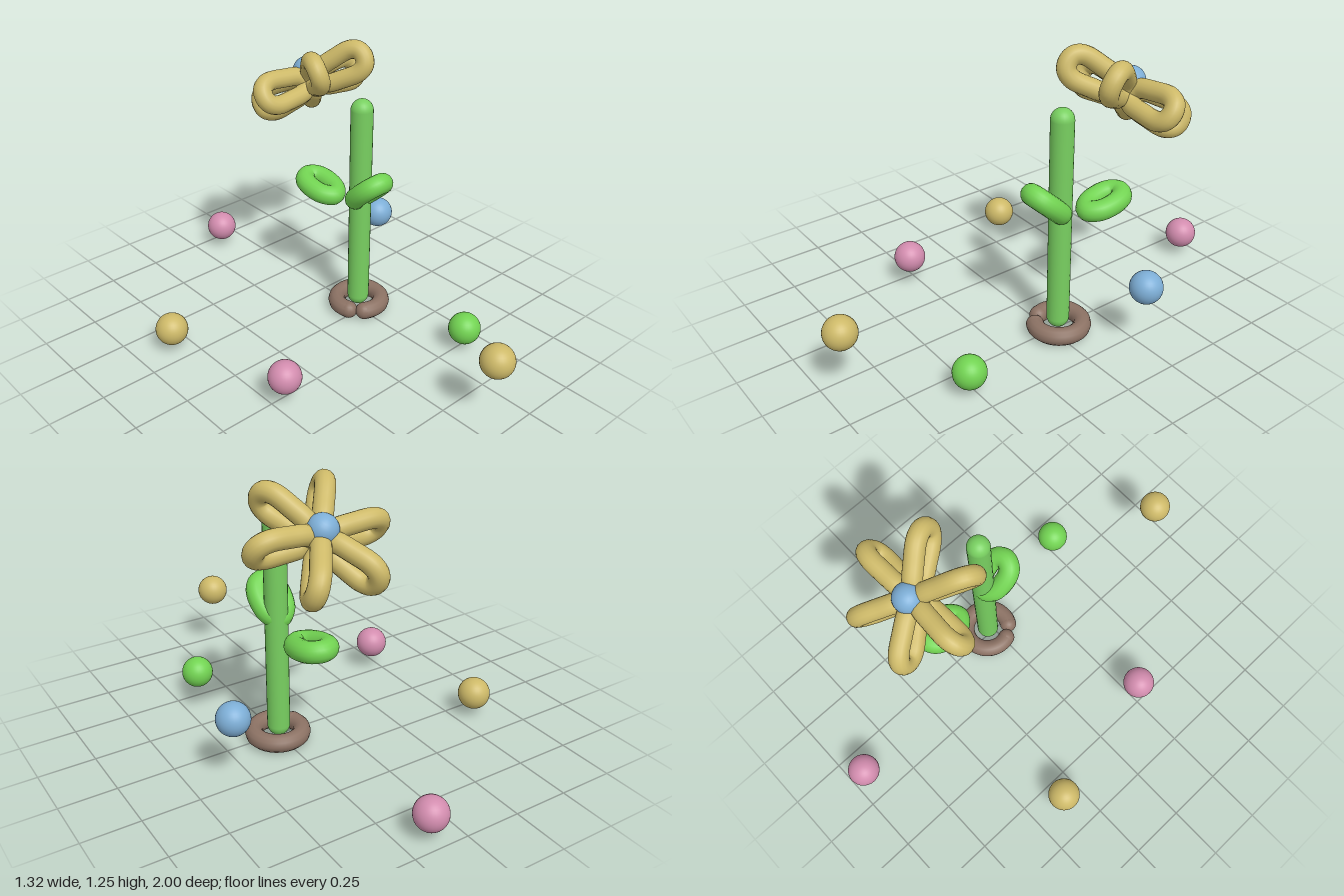
import * as THREE from 'three';

const material = (color) => new THREE.MeshStandardMaterial({ color });
const yellow = material(0xcdb968), green = material(0x72d352), stemGreen = material(0x78cf60);
const brown = material(0x8c7264), blue = material(0x7daed6), pink = material(0xd28cae);

function add(parent, name, geometry, mat, x = 0, y = 0, z = 0) {
  const mesh = new THREE.Mesh(geometry, mat);
  mesh.name = name;
  mesh.position.set(x, y, z);
  parent.add(mesh);
  return mesh;
}

// closed balloon loop in the local XY plane, mirrored about the X axis
function loopGeometry(half, radius) {
  const mirrored = half.slice(1, -1).reverse().map(([x, y]) => [x, -y]);
  const points = [...half, ...mirrored].map(([x, y]) => new THREE.Vector3(x, y, 0));
  return new THREE.TubeGeometry(new THREE.CatmullRomCurve3(points, true), 64, radius, 16, true);
}

export function createModel() {
  const model = new THREE.Group();
  model.name = 'balloonFlower';

  // stem: long capsule
  add(model, 'stem', new THREE.CapsuleGeometry(0.05, 0.94, 10, 24), stemGreen, 0.26, 0.555, -0.03);

  // base: nearly closed ring with rounded ends, gap at the front right
  const base = new THREE.Group();
  base.name = 'base';
  base.position.set(0.265, 0.05, -0.03);
  model.add(base);
  const ringRadius = 0.104, tube = 0.04, arc = THREE.MathUtils.degToRad(320);
  const start = THREE.MathUtils.degToRad(160);
  const ring = new THREE.TorusGeometry(ringRadius, tube, 12, 48, arc);
  ring.rotateZ(start);
  ring.rotateX(Math.PI / 2);
  add(base, 'baseRing', ring, brown);
  for (const a of [start, start + arc]) {
    add(base, 'baseEnd', new THREE.SphereGeometry(tube, 16, 12), brown,
      ringRadius * Math.cos(a), 0, ringRadius * Math.sin(a));
  }

  // leaves: loops spreading across x, rising along the given direction
  const leafGeometry = loopGeometry(
    [[-0.09, 0], [-0.055, 0.04], [0.03, 0.051], [0.075, 0.034], [0.092, 0]], 0.046);
  const leaves = [
    ['frontLeaf', 0.657, 0.032, 0.68, 0.73],
    ['backLeaf', 0.57, -0.28, 0.2, -0.98],
  ];
  for (const [name, y, z, dirY, dirZ] of leaves) {
    const leaf = add(model, name, leafGeometry, green, 0.248, y, z);
    const along = new THREE.Vector3(0, dirY, dirZ).normalize();
    const across = new THREE.Vector3(1, 0, 0);
    leaf.quaternion.setFromRotationMatrix(
      new THREE.Matrix4().makeBasis(along, across, along.clone().cross(across)));
  }

  // blossom: six upright loops around a tilted axis
  const blossom = new THREE.Group();
  blossom.name = 'blossom';
  blossom.position.set(0.26, 1.06, -0.36);
  blossom.rotation.x = -THREE.MathUtils.degToRad(35);
  model.add(blossom);
  const petalGeometry = loopGeometry(
    [[0.03, 0], [0.06, 0.035], [0.14, 0.05], [0.225, 0.054], [0.262, 0.034], [0.273, 0]], 0.042);
  for (let i = 0; i < 6; i++) {
    add(blossom, 'petal', petalGeometry, yellow).rotation.y = i * Math.PI / 3;
  }
  add(blossom, 'blossomCentre', new THREE.SphereGeometry(0.064, 24, 16), blue, 0, 0.052, 0);

  // loose balls around the flower
  const balls = [
    [yellow, -0.59, 0.12, -0.335], [pink, -0.455, 0.15, 0.285], [pink, 0.125, 0.12, -0.928],
    [yellow, 0.09, 0.322, 0.928], [green, 0.382, 0.12, 0.525], [blue, 0.582, 0.322, -0.235],
  ];
  for (const [mat, x, y, z] of balls) {
    add(model, 'ball', new THREE.SphereGeometry(0.072, 32, 20), mat, x, y, z);
  }
  return model;
}
